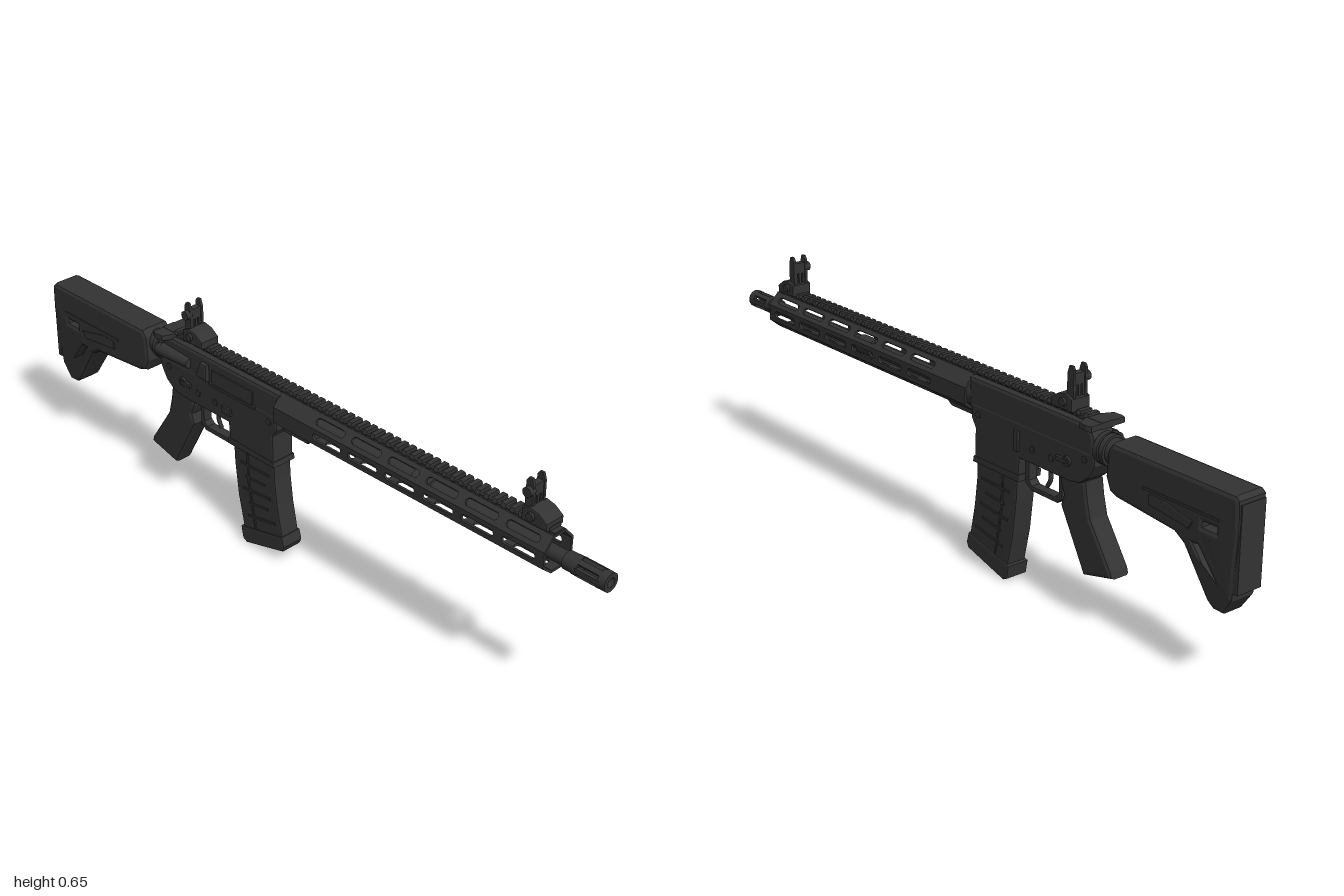
import * as THREE from 'three';

const AXIS = 0.468; // height of the bore line
const mat = new THREE.MeshStandardMaterial({ color: 0x333333, flatShading: true });
const smooth = new THREE.MeshStandardMaterial({ color: 0x333333 });

export function createModel() {
  const root = new THREE.Group();
  const add = (name, geo, m = mat, parent = root) => {
    const mesh = new THREE.Mesh(geo, m);
    mesh.name = name;
    parent.add(mesh);
    return mesh;
  };
  const path = (P, pts) => new P(pts.map(([x, y]) => new THREE.Vector2(x, y)));
  // Side outline extruded to +-half in z with a chamfer; taper(y) scales the width
  const plate = (name, pts, half, { bevel = 0.005, holes = [], z = 0, taper, parent } = {}) => {
    const s = path(THREE.Shape, pts);
    s.holes = holes.map(h => (h instanceof THREE.Path ? h : path(THREE.Path, h)));
    const g = new THREE.ExtrudeGeometry(s, {
      depth: 2 * (half - bevel), bevelEnabled: true, bevelThickness: bevel,
      bevelSize: bevel, bevelOffset: -bevel, bevelSegments: 2, curveSegments: 10,
    });
    g.translate(0, 0, bevel - half);
    if (taper) {
      const p = g.attributes.position;
      for (let i = 0; i < p.count; i++) p.setZ(i, p.getZ(i) * taper(p.getY(i)));
    }
    g.translate(0, 0, z);
    return add(name, g, mat, parent);
  };
  const box = (name, x0, x1, y0, y1, z0, z1, parent) => {
    const g = new THREE.BoxGeometry(x1 - x0, y1 - y0, z1 - z0);
    return add(name, g.translate((x0 + x1) / 2, (y0 + y1) / 2, (z0 + z1) / 2), mat, parent);
  };
  // Cylinders along the barrel (x) and across the body (z)
  const rod = (name, x0, x1, r, y = AXIS, z = 0, r2 = r) =>
    add(name, new THREE.CylinderGeometry(r2, r, x1 - x0, 24).rotateZ(-Math.PI / 2).translate((x0 + x1) / 2, y, z), smooth);
  const pin = (name, x, y, z0, z1, r, parent) =>
    add(name, new THREE.CylinderGeometry(r, r, z1 - z0, 16).rotateX(Math.PI / 2).translate(x, y, (z0 + z1) / 2), smooth, parent);

  // Stock with open toe slot and sling hole
  const sling = new THREE.Path().absarc(-0.912, 0.377, 0.013, 0, Math.PI * 2, true);
  plate('stock', [[-1, 0.43], [-0.997, 0.5], [-0.985, 0.51], [-0.59, 0.51], [-0.575, 0.49], [-0.57, 0.42],
    [-0.585, 0.385], [-0.61, 0.376], [-0.8, 0.358], [-0.83, 0.338], [-0.905, 0.222], [-0.925, 0.207],
    [-0.955, 0.206], [-0.985, 0.25]], 0.045, {
    bevel: 0.012, taper: y => 0.8 + 0.2 * Math.min(1, (y - 0.2) / 0.18),
    holes: [sling, [[-0.945, 0.235], [-0.862, 0.35], [-0.875, 0.35], [-0.95, 0.25]],
      [[-0.93, 0.402], [-0.89, 0.402], [-0.89, 0.412], [-0.93, 0.412]]],
  });
  for (const s of [-1, 1]) {
    plate('stockLever', [[-0.85, 0.385], [-0.72, 0.40], [-0.72, 0.425], [-0.77, 0.425], [-0.86, 0.405]], 0.006,
      { z: s * 0.043, bevel: 0.003 });
    box('stockRidge', -0.94, -0.7, 0.432, 0.438, s * 0.045 - 0.002, s * 0.045 + 0.002);
  }
  box('buttPad', -1, -0.985, 0.27, 0.49, -0.038, 0.038);

  // Stock tube and ring nut
  rod('stockTube', -0.62, -0.5, 0.034);
  for (const x of [-0.555, -0.535]) rod('ringNut', x, x + 0.014, 0.041);

  // Lower receiver with magazine well
  plate('lowerReceiver', [[-0.525, 0.455], [-0.525, 0.425], [-0.505, 0.39], [-0.475, 0.367], [-0.44, 0.36],
    [-0.25, 0.36], [-0.246, 0.3], [-0.074, 0.3], [-0.076, 0.39], [-0.06, 0.415], [-0.06, 0.455]], 0.036);
  plate('magazineWellLip', [[-0.25, 0.315], [-0.249, 0.296], [-0.07, 0.296], [-0.072, 0.312]], 0.039, { bevel: 0.003 });
  for (const [x, y] of [[-0.09, 0.43], [-0.49, 0.435], [-0.3, 0.4], [-0.37, 0.4]]) pin('receiverPin', x, y, -0.039, 0.039, 0.009);
  box('magazineRelease', -0.27, -0.235, 0.385, 0.405, 0.034, 0.042);
  box('boltCatch', -0.25, -0.235, 0.38, 0.435, -0.043, -0.034);
  pin('selectorPivot', -0.43, 0.412, -0.043, 0.043, 0.013);
  for (const s of [-1, 1]) box('selectorLever', -0.435, -0.395, 0.407, 0.418, s * 0.042 - 0.004, s * 0.042 + 0.004);

  // Upper receiver, ejection port cover, deflector and forward assist
  plate('upperReceiver', [[-0.52, 0.445], [-0.52, 0.495], [-0.5, 0.525], [-0.05, 0.525], [-0.05, 0.44], [-0.07, 0.435],
    [-0.5, 0.435]], 0.035, { bevel: 0.01 });
  box('ejectionPortCover', -0.31, -0.15, 0.455, 0.495, 0.03, 0.039);
  box('coverHinge', -0.32, -0.14, 0.447, 0.455, 0.032, 0.042);
  plate('caseDeflector', [[-0.37, 0.46], [-0.325, 0.455], [-0.325, 0.505], [-0.35, 0.505]], 0.01, { z: 0.037, bevel: 0.005 });
  rod('forwardAssist', -0.51, -0.4, 0.02, 0.48, 0.038, 0.014);
  rod('forwardAssistButton', -0.525, -0.5, 0.016, 0.48, 0.041);

  // Charging handle
  box('chargingHandleBar', -0.53, -0.44, 0.518, 0.536, -0.02, 0.02);
  for (const s of [-1, 1]) {
    const wing = plate('chargingHandleWing', [[-0.53, 0.01], [-0.53, 0.054], [-0.515, 0.058], [-0.49, 0.056], [-0.47, 0.01]],
      0.008, { bevel: 0.002 });
    wing.rotation.x = s * Math.PI / 2;
    wing.position.y = 0.527;
  }

  // Toothed top rail
  box('railBase', -0.49, 0.845, 0.52, 0.533, -0.017, 0.017);
  const tooth = path(THREE.Shape, [[-0.016, 0.526], [0.016, 0.526], [0.022, 0.533], [0.018, 0.543], [-0.018, 0.543], [-0.022, 0.533]]);
  const toothGeo = new THREE.ExtrudeGeometry(tooth, { depth: 0.014, bevelEnabled: false }).rotateY(Math.PI / 2);
  for (let x = -0.48; x < 0.835; x += 0.0265) add('railTooth', toothGeo).position.x = x;

  // Eight-sided handguard made of slotted panels
  const guard = new THREE.Group();
  guard.name = 'handguard';
  root.add(guard);
  const ring = [[0.45, 0.052], [0.496, 0.052], [0.529, 0.022], [0.529, -0.022], [0.496, -0.052], [0.45, -0.052],
    [0.425, -0.021], [0.425, 0.021]];
  const x0 = -0.055, x1 = 0.847, thick = 0.007;
  ring.forEach(([y, z], i) => {
    const [yb, zb] = ring[(i + 1) % 8];
    const L = Math.hypot(yb - y, zb - z);
    const shape = path(THREE.Shape, [[x0, 0], [x1, 0], [x1, L], [x0, L]]);
    // The top panel carries the rail and stays closed
    if (i !== 2) for (let k = 0; k < 6; k++) {
      const a = 0.09 + k * 0.126, b = a + 0.1, h = 0.01, c = L / 2;
      const slot = new THREE.Path();
      slot.absarc(b - h, c, h, -Math.PI / 2, Math.PI / 2);
      slot.absarc(a + h, c, h, Math.PI / 2, Math.PI * 1.5);
      shape.holes.push(slot);
    }
    const g = new THREE.ExtrudeGeometry(shape, { depth: thick, bevelEnabled: false, curveSegments: 5 });
    const S = new THREE.Vector3(0, (yb - y) / L, (zb - z) / L), N = new THREE.Vector3(0, -S.z, S.y);
    g.translate(0, 0, -thick);
    g.applyMatrix4(new THREE.Matrix4().makeBasis(new THREE.Vector3(1, 0, 0), S, N).setPosition(0, y, z));
    add('handguardPanel', g, mat, guard);
  });
  plate('handguardClamp', [[-0.055, 0.43], [-0.05, 0.413], [0.04, 0.413], [0.062, 0.43]], 0.022, { bevel: 0.004 });

  // Barrel and slotted muzzle device
  rod('barrelNut', -0.06, 0.06, 0.036);
  rod('barrel', -0.06, 0.885, 0.019);
  rod('gasBlock', 0.4, 0.46, 0.026);
  rod('muzzleBase', 0.875, 0.9, 0.024);
  const lathe = (name, a, b) => add(name, new THREE.LatheGeometry([[0.013, a], [0.025, a], [0.025, b], [0.013, b], [0.013, a]]
    .map(p => new THREE.Vector2(...p)), 24).rotateZ(-Math.PI / 2).translate(0, AXIS, 0));
  lathe('muzzleCollar', 0.9, 0.917);
  lathe('muzzleRing', 0.978, 1);
  for (let k = 0; k < 6; k++) {
    const g = new THREE.BoxGeometry(0.07, 0.01, 0.014).translate(0.947, 0.0195, 0);
    add('muzzleProng', g.rotateX((k + 0.5) * Math.PI / 3).translate(0, AXIS, 0));
  }

  // Curved magazine with side ribs and floor plate
  plate('magazine', [[-0.238, 0.33], [-0.234, 0.24], [-0.222, 0.14], [-0.2, 0.04], [-0.047, 0.075], [-0.066, 0.17],
    [-0.076, 0.25], [-0.078, 0.33]], 0.03, { bevel: 0.004 });
  plate('magazineFloorPlate', [[-0.21, 0.045], [-0.203, 0.008], [-0.188, 0], [-0.044, 0.04], [-0.038, 0.056], [-0.046, 0.085]],
    0.034, { bevel: 0.004 });
  for (const s of [-1, 1]) {
    for (let k = 0; k < 5; k++) {
      const rib = add('magazineRib', new THREE.BoxGeometry(k % 2 ? 0.075 : 0.11, 0.006, 0.005));
      rib.position.set(-0.153 + k * k * 0.0016, 0.255 - k * 0.038, s * 0.03);
      rib.rotation.z = 0.02 + k * 0.045;
    }
    plate('magazineSpine', [[-0.185, 0.295], [-0.181, 0.2], [-0.155, 0.06], [-0.149, 0.062], [-0.174, 0.2], [-0.178, 0.295]], 0.003,
      { z: s * 0.03, bevel: 0.001 });
  }

  // Pistol grip
  plate('pistolGrip', [[-0.49, 0.375], [-0.395, 0.375], [-0.395, 0.345], [-0.408, 0.315], [-0.398, 0.285], [-0.478, 0.14],
    [-0.486, 0.124], [-0.59, 0.15], [-0.585, 0.168], [-0.51, 0.28], [-0.497, 0.33]], 0.031, { bevel: 0.011 });

  // Trigger and guard
  plate('triggerGuard', [[-0.388, 0.37], [-0.388, 0.29], [-0.37, 0.274], [-0.272, 0.274], [-0.25, 0.29], [-0.247, 0.37]], 0.014, {
    bevel: 0.002, holes: [[[-0.375, 0.36], [-0.263, 0.36], [-0.263, 0.3], [-0.275, 0.288], [-0.362, 0.288], [-0.375, 0.3]]],
  });
  const curve = new THREE.CatmullRomCurve3([[-0.338, 0.37], [-0.33, 0.34], [-0.33, 0.32], [-0.318, 0.298]]
    .map(([x, y]) => new THREE.Vector3(x, y, 0)));
  add('trigger', new THREE.TubeGeometry(curve, 12, 0.006, 8), smooth);

  // Folding sights: clamp base, pierced post and two ears
  for (const [name, x] of [['rearSight', -0.419], ['frontSight', 0.769]]) {
    const g = new THREE.Group();
    g.name = name;
    g.position.x = x;
    root.add(g);
    plate('sightBase', [[-0.014, 0.535], [-0.014, 0.568], [0.01, 0.578], [0.037, 0.572], [0.062, 0.555], [0.062, 0.535]], 0.03,
      { bevel: 0.003, parent: g });
    pin('clampScrew', 0.015, 0.556, -0.037, 0.037, 0.011, g);
    for (const z of [-0.013, 0, 0.013]) box('sightPost', -0.009, 0.009, 0.57, 0.604, z - 0.004, z + 0.004, g);
    box('sightBlock', -0.009, 0.009, 0.6, 0.63, -0.015, 0.015, g);
    for (const s of [-1, 1]) {
      plate('sightEar', [[-0.012, 0.565], [-0.012, 0.64], [-0.006, 0.649], [0.005, 0.649], [0.011, 0.63], [0.012, 0.565]], 0.004,
        { z: s * 0.019, bevel: 0.001, parent: g });
    }
    pin('sightKnob', 0, 0.615, 0.015, 0.034, 0.013, g);
  }

  root.position.z = -0.003;
  const model = new THREE.Group();
  model.name = 'rifle';
  model.add(root);
  return model;
}
